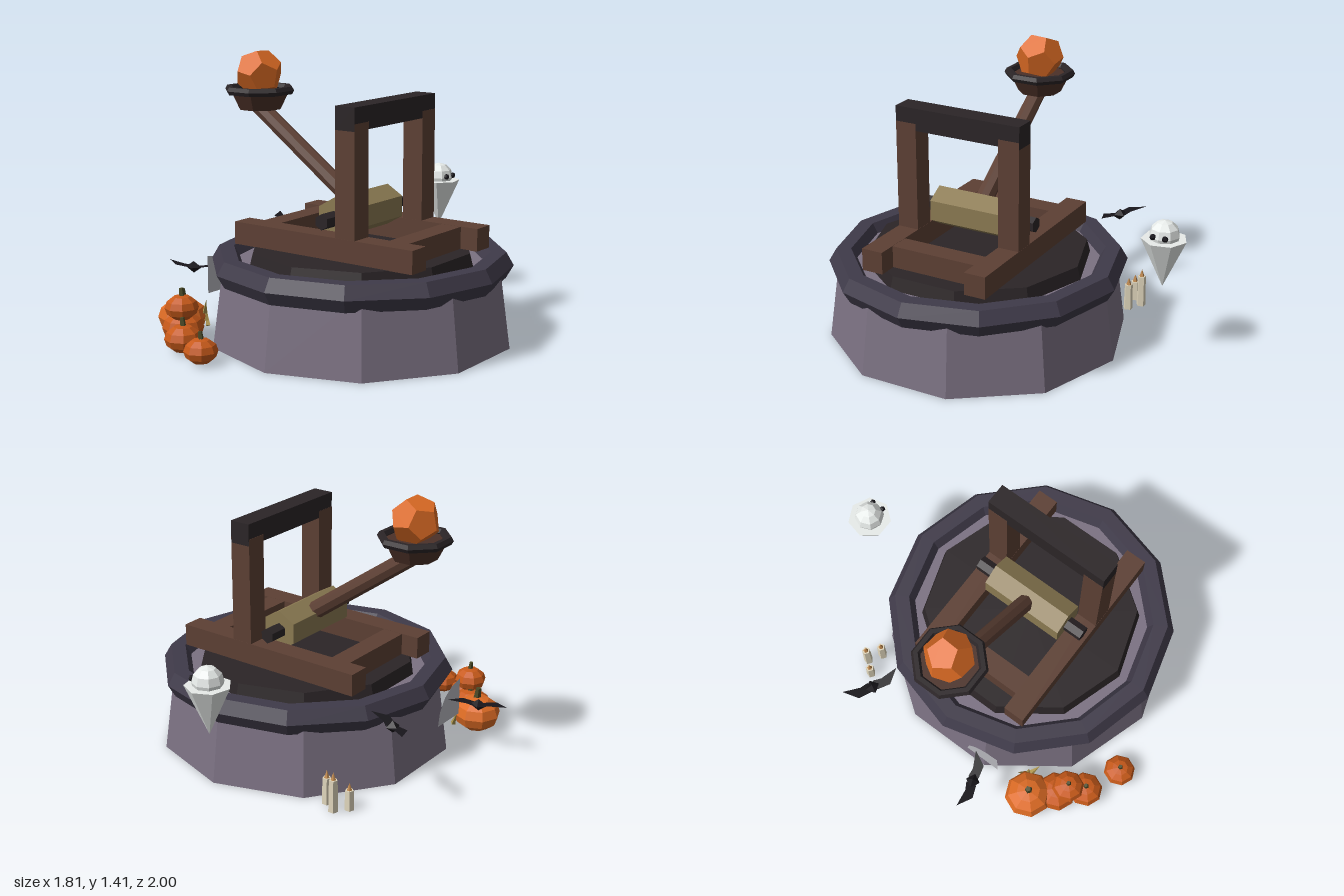
import * as THREE from 'three';

const mat = (color, extra = {}) => new THREE.MeshStandardMaterial({ color, flatShading: true, ...extra });
const STONE = mat(0x7b7182), RIM = mat(0x3f3a49), DARK = mat(0x2b2527), WOOD = mat(0x5d4034);
const ROLLER = mat(0x8b7a52), BOWL = mat(0x4c3128), ORANGE = mat(0xc85a1a), SHOT = mat(0xdc6b24);
const STEM = mat(0x4a4a26), GHOST = mat(0xe8ecea), BLACK = mat(0x18161b, { side: THREE.DoubleSide });
const WAX = mat(0xe0d6bc), FLAME = mat(0xc08a50), STRAW = mat(0xb09850);
const WEB = mat(0xb8b8be, { side: THREE.DoubleSide });

function add(parent, name, geo, material, x = 0, y = 0, z = 0) {
  const m = new THREE.Mesh(geo, material);
  m.name = name;
  m.position.set(x, y, z);
  parent.add(m);
  return m;
}
const box = (w, h, d) => new THREE.BoxGeometry(w, h, d);
const cyl = (rt, rb, h, n) => new THREE.CylinderGeometry(rt, rb, h, n);

export function createModel() {
  const root = new THREE.Group();
  root.name = 'catapultTower';
  const CX = 0.13, CZ = 0.065;

  // Round stone base with a heavy rim and a dark deck
  const tower = new THREE.Group();
  tower.name = 'tower';
  tower.position.set(CX, 0, CZ);
  root.add(tower);
  add(tower, 'wall', cyl(0.715, 0.77, 0.4, 10), STONE, 0, 0.2, 0);
  const rim = add(tower, 'rim', new THREE.TorusGeometry(0.69, 0.076, 6, 12), RIM, 0, 0.385, 0);
  rim.rotation.x = Math.PI / 2;
  add(tower, 'deck', cyl(0.562, 0.58, 0.07, 10), DARK, 0, 0.432, 0);

  // Catapult frame
  const catapult = new THREE.Group();
  catapult.name = 'catapult';
  catapult.position.set(CX, 0, CZ);
  root.add(catapult);
  for (const s of [-1, 1]) {
    add(catapult, 'sideRail', box(1.08, 0.115, 0.115), WOOD, 0, 0.523, s * 0.288);
    add(catapult, 'crossBeam', box(0.112, 0.113, 0.47), WOOD, s * 0.388, 0.523, 0);
    add(catapult, 'post', box(0.115, 0.565, 0.113), WOOD, 0.152, 0.858, s * 0.288);
  }
  add(catapult, 'topBeam', box(0.113, 0.115, 0.69), DARK, 0.152, 1.162, 0);

  // Winding roller on its axle
  const roller = add(catapult, 'roller', cyl(0.105, 0.105, 0.46, 6), ROLLER, 0, 0.643, 0);
  const axle = add(catapult, 'axle', cyl(0.04, 0.04, 0.66, 6), DARK, 0, 0.643, 0);
  roller.rotation.x = axle.rotation.x = Math.PI / 2;

  // Throwing arm between two points
  const a = new THREE.Vector3(-0.05, 0.69, 0), b = new THREE.Vector3(-0.655, 1.12, 0);
  const dir = b.clone().sub(a);
  const arm = add(catapult, 'arm', cyl(0.044, 0.047, dir.length(), 8), WOOD);
  arm.position.copy(a).add(b).multiplyScalar(0.5);
  arm.quaternion.setFromUnitVectors(new THREE.Vector3(0, 1, 0), dir.normalize());

  // Bowl and its load
  add(catapult, 'bowl', cyl(0.16, 0.113, 0.095, 8), BOWL, -0.657, 1.157, 0).rotation.y = Math.PI / 8;
  const bowlRim = add(catapult, 'bowlRim', new THREE.TorusGeometry(0.165, 0.023, 6, 8), DARK, -0.657, 1.21, 0);
  bowlRim.rotation.set(Math.PI / 2, 0, Math.PI / 8);
  add(catapult, 'shot', new THREE.DodecahedronGeometry(0.126), SHOT, -0.657, 1.297, 0).rotation.set(0.4, 0.4, 0.2);

  // Pumpkin pile: x, y, z, radius
  const pumpkins = [[-0.605, 0.097, 0.6, 0.125], [-0.5, 0.082, 0.71, 0.105], [-0.465, 0.2, 0.755, 0.085],
    [-0.395, 0.07, 0.825, 0.092], [-0.2, 0.065, 0.91, 0.084]];
  for (const [x, y, z, r] of pumpkins) {
    const p = new THREE.Group();
    p.name = 'pumpkin';
    p.position.set(x, y, z);
    root.add(p);
    add(p, 'pumpkinBody', new THREE.SphereGeometry(r, 8, 6), r > 0.12 ? SHOT : ORANGE).scale.y = 0.76;
    add(p, 'pumpkinStem', cyl(r * 0.12, r * 0.17, r * 0.5, 5), STEM, 0, r * 0.9, 0).rotation.z = 0.12;
  }

  // Straw tuft behind the pumpkins
  for (const [i, y] of [0.08, 0.12, 0.16].entries()) {
    const s = add(root, 'straw', new THREE.ConeGeometry(0.014, 0.09, 4), STRAW, -0.53 + 0.023 * i, y, 0.5 + 0.03 * i);
    s.rotation.set(0.3 * (i - 1), 0, 0.4 * (1 - i));
  }

  // Candles: x, z, wax height
  for (const [x, z, h] of [[-0.513, -0.572, 0.17], [-0.565, -0.512, 0.105], [-0.442, -0.528, 0.14]]) {
    add(root, 'candle', cyl(0.022, 0.025, h, 5), WAX, x, h / 2, z);
    add(root, 'flame', new THREE.ConeGeometry(0.014, 0.04, 5), FLAME, x, h + 0.02, z);
  }

  // Floating ghost looking to its left
  const ghost = new THREE.Group();
  ghost.name = 'ghost';
  ghost.position.set(-0.02, 0, -0.888);
  root.add(ghost);
  add(ghost, 'ghostSheet', new THREE.ConeGeometry(0.115, 0.255, 7), GHOST, 0, 0.518, 0).rotation.x = Math.PI;
  add(ghost, 'ghostHead', new THREE.SphereGeometry(0.078, 8, 6), GHOST, 0, 0.663, 0);
  for (const s of [-1, 1])
    add(ghost, 'ghostEye', new THREE.SphereGeometry(0.016, 6, 4), BLACK, 0.07, 0.672, s * 0.032);

  // Bats with swept wings: x, y, z, yaw
  const wing = new THREE.Shape([[0.015, 0.03], [0.06, 0.02], [0.155, 0.035], [0.09, -0.03], [0.02, -0.025]]
    .map(p => new THREE.Vector2(...p)));
  for (const [x, y, z, yaw] of [[-0.697, 0.418, -0.35, -0.48], [-0.755, 0.28, 0.35, 0.32]]) {
    const bat = new THREE.Group();
    bat.name = 'bat';
    bat.position.set(x, y, z);
    bat.rotation.y = yaw;
    root.add(bat);
    add(bat, 'batBody', new THREE.OctahedronGeometry(0.045), BLACK).scale.set(1, 0.7, 0.8);
    for (const s of [-1, 1]) {
      const half = new THREE.Group();
      half.scale.x = s;
      half.rotation.z = s * 0.14;
      bat.add(half);
      add(half, 'batWing', new THREE.ShapeGeometry(wing), BLACK).rotation.x = -Math.PI / 2;
    }
  }

  // Cobweb fan beside the wall
  const web = add(root, 'cobweb', new THREE.CircleGeometry(0.2, 4, 0, Math.PI / 2), WEB, -0.61, 0.17, 0.4);
  web.rotation.y = Math.PI / 2;

  return root;
}
